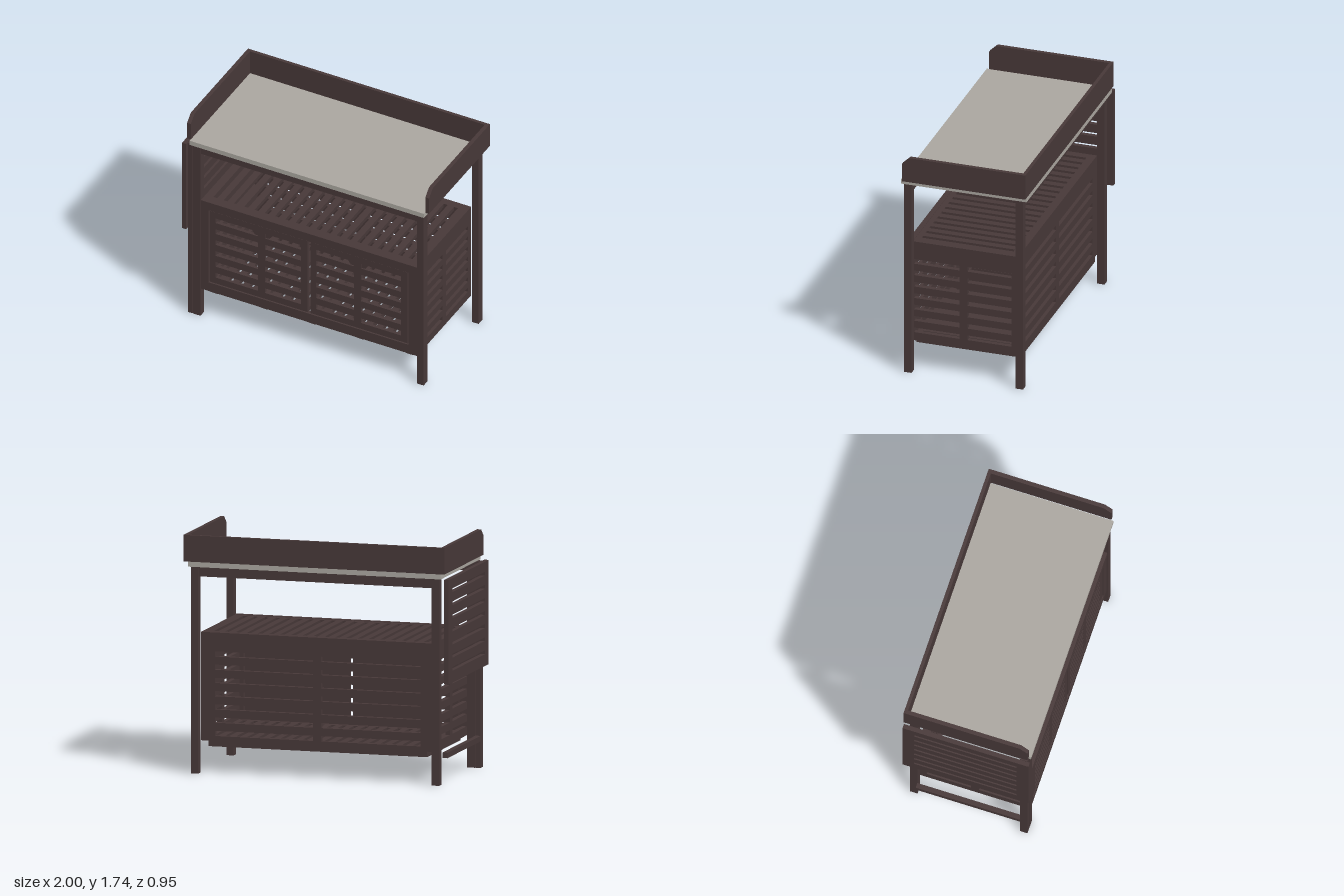
import * as THREE from 'three';

export function createModel() {
  const model = new THREE.Group();
  const wood = new THREE.MeshStandardMaterial({ color: 0x473838 });
  wood.name = 'dark wood';
  const grey = new THREE.MeshStandardMaterial({ color: 0xaaa69f });
  grey.name = 'grey top';

  const add = (name, geometry, material = wood) => {
    const mesh = new THREE.Mesh(geometry, material);
    mesh.name = name;
    model.add(mesh);
    return mesh;
  };

  // Box given by its limits on each axis
  const box = (name, x0, x1, y0, y1, z0, z1, material) =>
    add(name, new THREE.BoxGeometry(x1 - x0, y1 - y0, z1 - z0), material)
      .position.set((x0 + x1) / 2, (y0 + y1) / 2, (z0 + z1) / 2);

  const rect = (Type, u0, u1, v0, v1) => new Type([
    new THREE.Vector2(u0, v0), new THREE.Vector2(u1, v0),
    new THREE.Vector2(u1, v1), new THREE.Vector2(u0, v1),
  ]);

  // Flat board with rectangular openings [u0, u1, v0, v1]
  const board = (u0, u1, v0, v1, holes, depth) => {
    const shape = rect(THREE.Shape, u0, u1, v0, v1);
    shape.holes = holes.map((h) => rect(THREE.Path, ...h));
    return new THREE.ExtrudeGeometry(shape, { depth, bevelEnabled: false });
  };
  const facingSide = (geometry, xMax) => geometry.rotateY(-Math.PI / 2).translate(xMax, 0, 0);
  const facingUp = (geometry, yTop) => geometry.rotateX(Math.PI / 2).translate(0, yTop, 0);

  // Rows of slots between slats, for each [u0, u1] column
  const slots = (columns, count, top, pitch, height) => {
    const out = [];
    for (let i = 0; i < count; i++) {
      const y = top - i * pitch;
      columns.forEach(([a, b]) => out.push([a, b, y - height, y]));
    }
    return out;
  };

  // Four main legs
  for (const [x0, x1] of [[-0.92, -0.86], [0.9, 0.955]]) {
    box('frontLeg', x0, x1, 0, 1.51, 0.4, 0.456);
    box('backLeg', x0, x1, 0, 1.51, -0.447, -0.39);
  }

  // Swing-out support for the folding leaf
  box('swingLeg', -0.963, -0.925, 0, 1.505, 0.4, 0.456);
  box('swingRail', -0.963, -0.925, 0.195, 0.235, -0.39, 0.4);

  // Folding leaf hanging at the side
  add('foldingLeaf', facingSide(
    board(-0.478, 0.475, 0.748, 1.508, slots([[-0.39, 0.387]], 7, 1.435, 0.0955, 0.028), 0.034), -0.966));

  // Table top, tray edges and aprons
  box('tableTop', -0.94, 0.967, 1.51, 1.547, -0.478, 0.475, grey);
  box('trayBack', -0.968, 1, 1.547, 1.74, -0.48, -0.455);
  const sideProfile = new THREE.Shape([
    [-0.455, 1.547], [0.458, 1.547], [0.458, 1.685], [0.4, 1.74], [-0.455, 1.74],
  ].map(([z, y]) => new THREE.Vector2(z, y)));
  for (const xMax of [-0.938, 1]) {
    add('traySide', facingSide(
      new THREE.ExtrudeGeometry(sideProfile, { depth: 0.03, bevelEnabled: false }), xMax));
  }
  box('frontApron', -0.86, 0.9, 1.437, 1.51, 0.405, 0.445);
  box('backApron', -0.86, 0.9, 1.437, 1.51, -0.44, -0.4);

  // Slatted shelf and cabinet floor
  const deckSlots = [];
  for (let i = 0; i < 20; i++) {
    const x = -0.8 + i * 0.0835;
    deckSlots.push([x, x + 0.032, -0.33, 0.37]);
  }
  add('shelf', facingUp(board(-0.825, 0.86, -0.355, 0.41, deckSlots, 0.03), 1.025));
  add('cabinetFloor', facingUp(board(-0.825, 0.86, -0.355, 0.41, deckSlots, 0.03), 0.265));
  box('floorBackRail', -0.81, 0.84, 0.195, 0.235, -0.39, -0.34);
  for (const x of [-0.81, -0.4, -0.01, 0.38, 0.783]) {
    box('floorRunner', x, x + 0.057, 0.195, 0.235, -0.34, 0.4);
  }

  // Cabinet sides
  for (const xMax of [-0.825, 0.895]) {
    add('cabinetSide', facingSide(
      board(-0.39, 0.41, 0.235, 1.025,
        slots([[-0.34, -0.005], [0.055, 0.4]], 7, 0.884, 0.0913, 0.037), 0.035), xMax));
  }

  // Cabinet back
  add('cabinetBack', board(-0.825, 0.86, 0.235, 1.025,
    slots([[-0.76, -0.01], [0.05, 0.79]], 7, 0.888, 0.0965, 0.038), 0.035).translate(0, 0, -0.39));

  // Cabinet front frame, with a shelf rail above
  add('cabinetFrontFrame', board(-0.86, 0.895, 0.235, 0.96,
    [[-0.8, 0.827, 0.312, 0.955]], 0.035).translate(0, 0, 0.41));
  box('shelfFrontRail', -0.86, 0.9, 0.96, 1.028, 0.41, 0.45);

  // Two slatted doors, each with a finger grip under the top rail
  for (const [x0, x1, m] of [[-0.792, 0.003, -0.3725], [0.025, 0.817, 0.4075]]) {
    add('door', board(x0, x1, 0.318, 0.95,
      slots([[x0 + 0.047, m - 0.028], [m + 0.028, x1 - 0.053]], 6, 0.897, 0.0972, 0.041),
      0.025).translate(0, 0, 0.415));
    const grip = new THREE.Shape([
      [m - 0.09, 0.9], [m - 0.055, 0.85], [m + 0.055, 0.85], [m + 0.09, 0.9],
    ].map(([x, y]) => new THREE.Vector2(x, y)));
    add('doorGrip', new THREE.ExtrudeGeometry(grip, { depth: 0.012, bevelEnabled: false })
      .translate(0, 0, 0.418));
  }

  return model;
}
